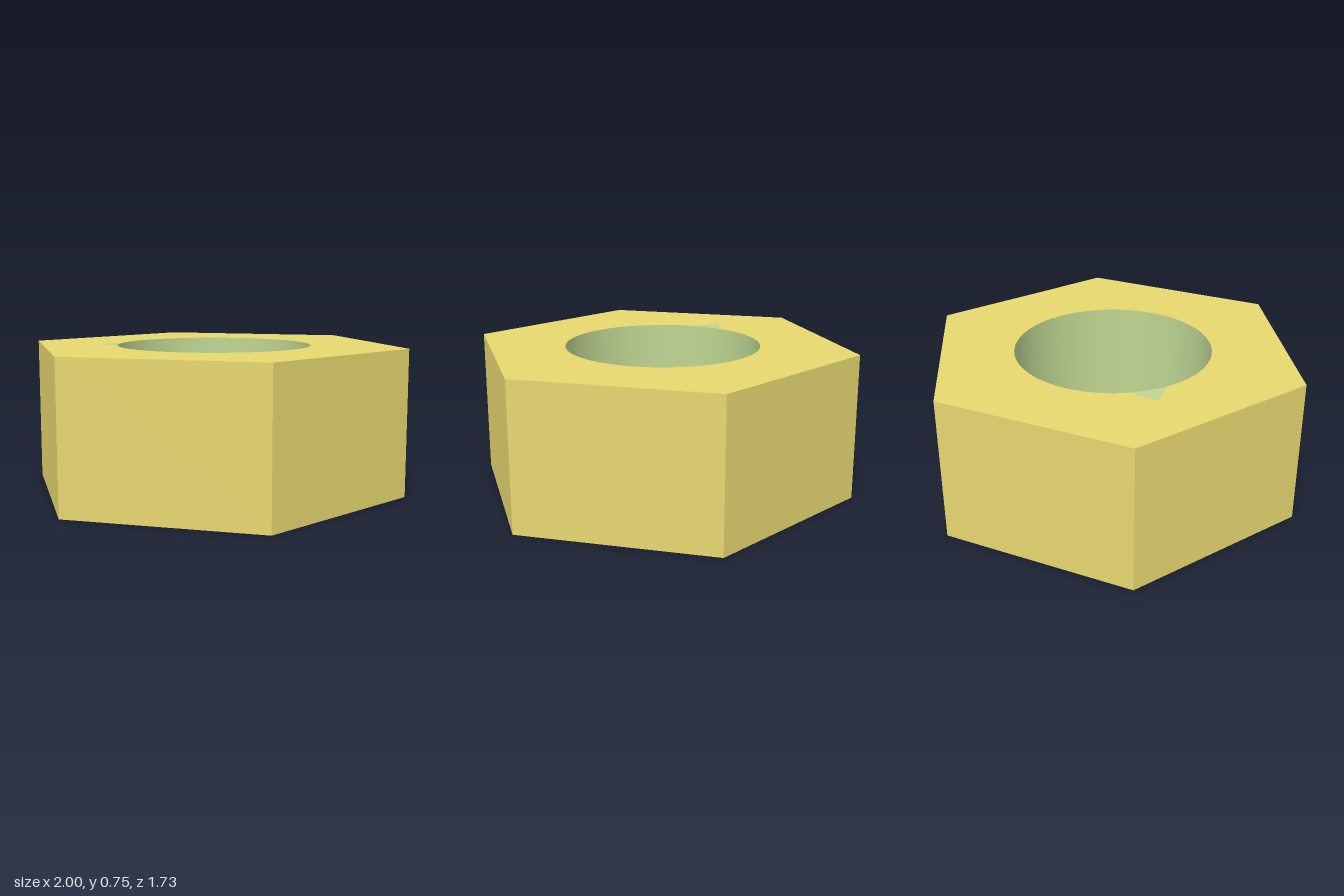
import * as THREE from 'three';

const HEIGHT = 0.75, BORE = 0.5;

export function createModel() {
  const group = new THREE.Group();
  const yellow = new THREE.MeshStandardMaterial({ color: 0xe8d870 });
  const green = new THREE.MeshStandardMaterial({ color: 0xbfd692, side: THREE.DoubleSide });

  const add = (name, geometry, material, y) => {
    const mesh = new THREE.Mesh(geometry, material);
    mesh.name = name;
    mesh.position.y = y;
    group.add(mesh);
  };

  // Hexagonal body with a round through hole
  const hexagon = new THREE.Shape(Array.from({ length: 6 }, (_, i) =>
    new THREE.Vector2(Math.cos(i * Math.PI / 3), Math.sin(i * Math.PI / 3))));
  hexagon.holes.push(new THREE.Path().absarc(0, 0, BORE, 0, Math.PI * 2, true));
  const body = new THREE.ExtrudeGeometry(hexagon, { depth: HEIGHT, bevelEnabled: false, curveSegments: 96 });
  body.rotateX(-Math.PI / 2);
  add('hexBody', body, yellow, 0);

  // Smooth lining of the bore
  add('boreLining', new THREE.CylinderGeometry(BORE - 0.001, BORE - 0.001, HEIGHT, 192, 1, true), green, HEIGHT / 2);

  // Thread ends: small flat wedges showing at the rim, mirrored top to bottom
  const wedge = new THREE.Shape();
  wedge.moveTo(-0.29, 0.415);
  wedge.lineTo(-0.32, 0.43);
  wedge.lineTo(-0.43, 0.435);
  wedge.lineTo(-0.41, 0.29);
  wedge.absarc(0, 0, BORE, Math.atan2(0.29, -0.41), Math.atan2(0.415, -0.29), true);
  const end = new THREE.ShapeGeometry(wedge, 12).rotateX(-Math.PI / 2);
  add('threadEndTop', end, green, HEIGHT + 0.0008);
  add('threadEndBottom', end.clone().rotateX(Math.PI), green, -0.0008);

  return group;
}
